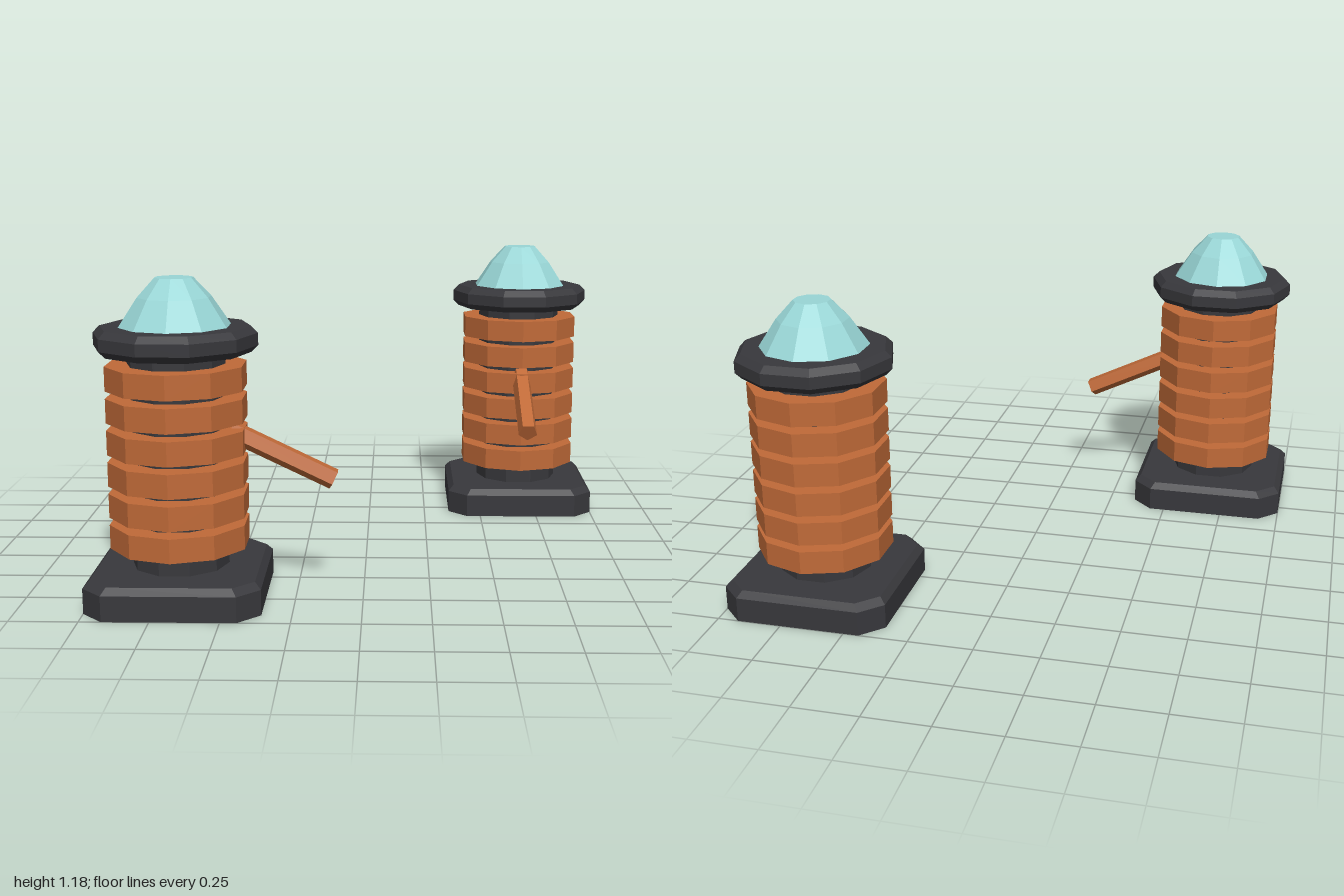
import * as THREE from 'three';

const SIDES = 10;
const dark = new THREE.MeshStandardMaterial({ color: 0x38383c, flatShading: true });
const copper = new THREE.MeshStandardMaterial({ color: 0xc06a38, flatShading: true });
const glass = new THREE.MeshStandardMaterial({ color: 0x99d6d6, flatShading: true });

function part(name, geometry, material) {
  const flat = geometry.index ? geometry.toNonIndexed() : geometry;
  flat.computeVertexNormals();
  const mesh = new THREE.Mesh(flat, material);
  mesh.name = name;
  return mesh;
}

// Faceted solid of revolution from [radius, height] pairs, bottom to top
function turned(profile, sides = SIDES, phi = 0) {
  return new THREE.LatheGeometry(profile.map(([r, y]) => new THREE.Vector2(r, y)), sides, phi);
}

// Square plinth with cut corners and a chamfered top edge
function plinthGeometry() {
  const geo = turned([[0, 0], [1, 0], [1, 0.095], [0.93, 0.12], [0, 0.12]], 8, Math.PI / 8);
  const pos = geo.attributes.position;
  for (let i = 0; i < pos.count; i++) {
    const x = pos.getX(i), z = pos.getZ(i), r = Math.hypot(x, z);
    const snap = v => Math.sign(v) * r * (Math.abs(v) > r * 0.6 ? 0.32 : 0.24);
    pos.setX(i, snap(x));
    pos.setZ(i, snap(z));
  }
  return geo;
}

function createTower(name, armTurn) {
  const tower = new THREE.Group();
  tower.name = name;
  tower.add(part('plinth', plinthGeometry(), dark));

  // Core and collar have corners on the x axis
  const quarter = Math.PI / 2;
  tower.add(part('core', turned([[0, 0.11], [0.18, 0.11], [0.18, 0.93], [0, 0.93]], SIDES, quarter), dark));
  tower.add(part('collar', turned([
    [0, 0.915], [0.275, 0.915], [0.3, 0.94], [0.3, 0.985], [0.275, 1.01], [0, 1.01],
  ], SIDES, quarter), dark));

  // Stacked coil rings
  for (let i = 0; i < 6; i++) {
    const ring = part('coilRing', new THREE.CylinderGeometry(0.26, 0.26, 0.09, SIDES), copper);
    ring.position.y = 0.24 + i * 0.1174;
    tower.add(ring);
  }

  // Domed lamp with a flat crown
  tower.add(part('dome', turned([
    [0, 1.0], [0.207, 1.0], [0.205, 1.01], [0.135, 1.115], [0.07, 1.185], [0, 1.185],
  ]), glass));

  // Five-sided arm sloping down and outwards
  const slope = 0.45, length = 0.42;
  const arm = part('arm', new THREE.CylinderGeometry(0.041, 0.041, length, 5), copper);
  arm.rotation.x = Math.PI / 2 + slope;
  arm.position.set(0, 0.442 + Math.sin(slope) * length / 2, 0.572 - Math.cos(slope) * length / 2);
  const armPivot = new THREE.Group();
  armPivot.name = 'armPivot';
  armPivot.rotation.y = armTurn;
  armPivot.add(arm);
  tower.add(armPivot);
  return tower;
}

export function createModel() {
  const model = new THREE.Group();
  model.name = 'coilTowers';
  const front = createTower('frontTower', Math.PI / 2);
  front.position.set(-0.68, 0, 0.68);
  const back = createTower('backTower', 0);
  back.position.set(0.68, 0, -0.68);
  model.add(front, back);
  return model;
}
